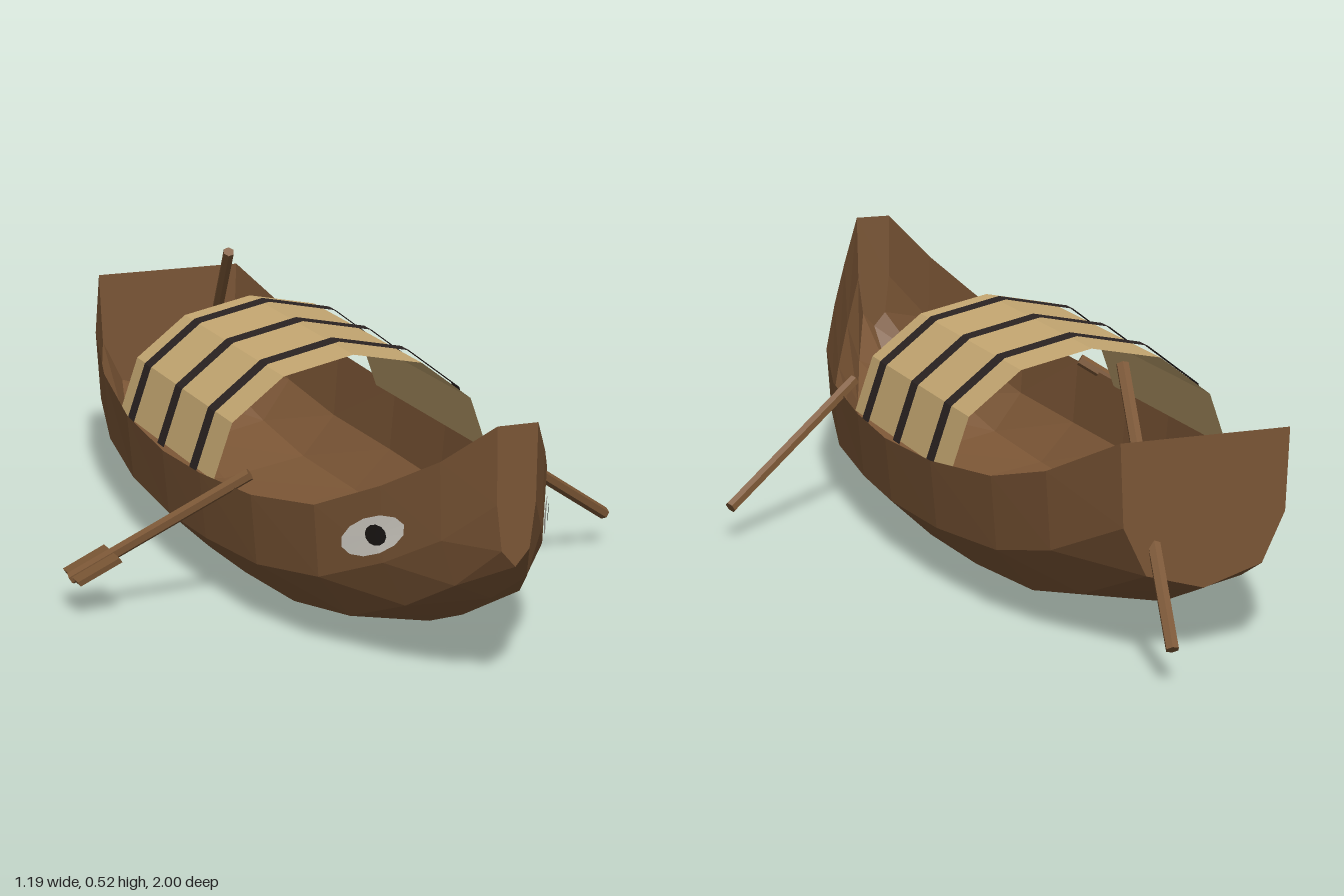
import * as THREE from 'three';

const mat = (name, color) => new THREE.MeshStandardMaterial({ name, color, flatShading: true, side: THREE.DoubleSide });

// Hull stations from bow to stern: [z, gunwale height, keel height, half width]
const STATIONS = [
  [1, 0.525, 0.26, 0.04], [0.9, 0.44, 0.17, 0.105], [0.78, 0.37, 0.1, 0.17],
  [0.63, 0.3, 0.04, 0.24], [0.43, 0.27, 0.012, 0.29], [0.2, 0.255, 0.005, 0.312],
  [0, 0.25, 0.003, 0.32], [-0.25, 0.262, 0.008, 0.312], [-0.5, 0.29, 0.02, 0.28],
  [-0.68, 0.34, 0.06, 0.24], [-0.865, 0.43, 0.14, 0.17],
];
// Cross-section from gunwale to keel: [share of half width, share of height]
const RIB = [[1, 1], [0.96, 0.45], [0.69, 0.12], [0, 0]];
const SECTION = [...RIB, ...RIB.slice(0, 3).reverse().map(([w, h]) => [-w, h])];

function hullGeometry() {
  const pos = [], index = [], n = SECTION.length, last = (STATIONS.length - 1) * n;
  for (const [z, top, keel, half] of STATIONS)
    for (const [w, h] of SECTION) pos.push(w * half, keel + h * (top - keel), z);
  for (let i = 0; i < STATIONS.length - 1; i++)
    for (let j = 0; j < n - 1; j++) {
      const a = i * n + j, d = a + n;
      index.push(a, a + 1, d + 1, a, d + 1, d);
    }
  // Flat bow post and stern board
  for (let j = 1; j < n - 1; j++) index.push(0, j + 1, j, last, last + j, last + j + 1);
  const g = new THREE.BufferGeometry();
  g.setAttribute('position', new THREE.Float32BufferAttribute(pos, 3));
  g.setIndex(index);
  const flat = g.toNonIndexed();
  flat.computeVertexNormals();
  return flat;
}

// Half width of the upper hull side at a given z and y
function hullSide(z, y) {
  const i = Math.max(1, STATIONS.findIndex((s) => s[0] <= z));
  const a = STATIONS[i - 1], b = STATIONS[i], t = (a[0] - z) / (a[0] - b[0]);
  const [top, keel, half] = [1, 2, 3].map((k) => a[k] + (b[k] - a[k]) * t);
  const h = (y - keel) / (top - keel);
  return half * (1 - 0.04 * (1 - h) / 0.55);
}

// Flat ellipse wrapped onto the hull side
function eyePlate(side, z, y, long, short, lift) {
  const g = new THREE.CircleGeometry(1, 12);
  const p = g.attributes.position, c = Math.cos(0.5), s = Math.sin(0.5);
  for (let i = 0; i < p.count; i++) {
    const u = p.getX(i) * long, v = p.getY(i) * short;
    const pz = z + u * c - v * s, py = y + u * s + v * c;
    p.setXYZ(i, side * (hullSide(pz, py) + lift), py, pz);
  }
  // Face outward on both sides
  if (side > 0) {
    const ix = g.index;
    for (let i = 0; i < ix.count; i += 3) {
      const t = ix.getX(i);
      ix.setX(i, ix.getX(i + 1));
      ix.setX(i + 1, t);
    }
  }
  g.computeVertexNormals();
  return g;
}

// Thin half-round sheet along z
function archGeometry(rx, ry, z, length) {
  return new THREE.CylinderGeometry(1, 1, length, 6, 1, true, Math.PI / 2, Math.PI)
    .rotateX(Math.PI / 2).scale(rx, ry, 1).translate(0, 0.25, z);
}

// Round pole between two points
function poleGeometry(from, to, radius) {
  const a = new THREE.Vector3(...from), b = new THREE.Vector3(...to);
  const dir = b.clone().sub(a);
  const q = new THREE.Quaternion().setFromUnitVectors(new THREE.Vector3(0, 1, 0), dir.clone().normalize());
  const mid = a.add(b).multiplyScalar(0.5);
  return new THREE.CylinderGeometry(radius, radius, dir.length(), 6)
    .applyQuaternion(q).translate(mid.x, mid.y, mid.z);
}

export function createModel() {
  const wood = mat('hull wood', 0x7a5535);
  const oarWood = mat('oar wood', 0x7d5836);
  const straw = mat('canopy straw', 0xc6a872);
  const dark = mat('dark bands', 0x2b2322);
  const white = mat('eye white', 0xd9d5cc);
  const black = mat('pupil black', 0x1a1614);

  const model = new THREE.Group();
  model.name = 'riverBoat';
  const add = (name, geometry, material) => {
    const m = new THREE.Mesh(geometry, material);
    m.name = name;
    model.add(m);
    return m;
  };

  add('hull', hullGeometry(), wood);

  // Arched canopy with three bands
  add('canopy', archGeometry(0.3, 0.23, -0.04, 0.58), straw);
  [0.155, -0.04, -0.235].forEach((z, i) =>
    add(`canopyBand${i + 1}`, archGeometry(0.31, 0.24, z, 0.04), dark));

  // Painted eyes and side oars
  for (const side of [1, -1]) {
    const label = side > 0 ? 'left' : 'right';
    add(`${label}Eye`, eyePlate(side, 0.762, 0.27, 0.078, 0.034, 0.005), white);
    add(`${label}Pupil`, eyePlate(side, 0.775, 0.275, 0.024, 0.02, 0.009), black);
    add(`${label}Oar`, poleGeometry([side * 0.265, 0.29, 0.36], [side * 0.59, 0.073, 0.218], 0.013), oarWood);
  }

  // Blade on the right oar, sheared to follow its shaft
  const blade = new THREE.BoxGeometry(1, 1, 1).applyMatrix4(new THREE.Matrix4().makeBasis(
    new THREE.Vector3(0.076, 0.051, 0.033),
    new THREE.Vector3(-0.006, 0.009, 0),
    new THREE.Vector3(0, 0, 0.097),
  ));
  blade.translate(-0.55, 0.1, 0.235);
  blade.computeVertexNormals();
  add('rightOarBlade', blade, oarWood);

  // Steering oar over the stern
  add('steeringOar', poleGeometry([0.06, 0.515, -0.62], [0.12, 0.073, -0.99], 0.013), oarWood);

  return model;
}
